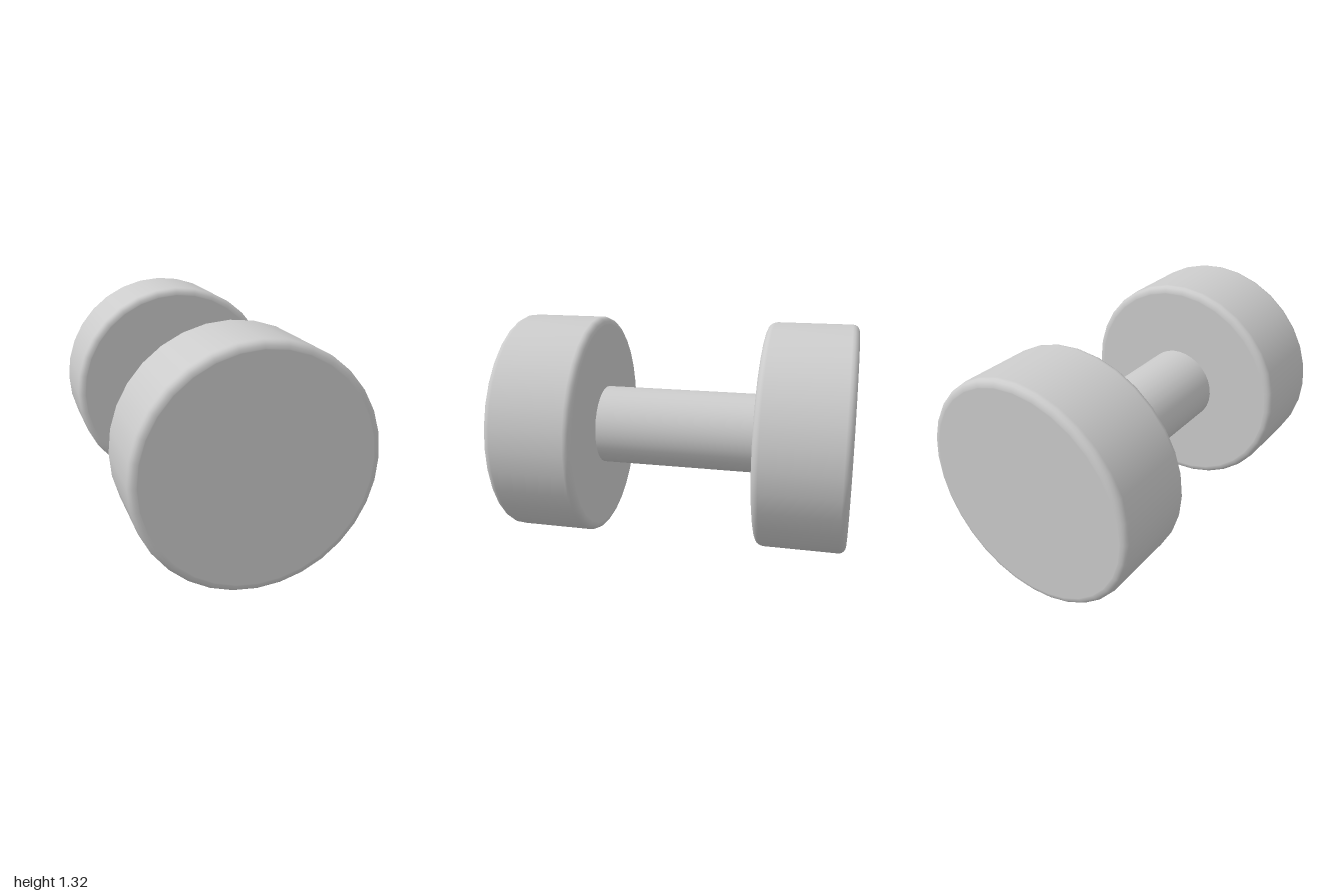
import * as THREE from 'three';

const SIDES = 32;
const RADIUS = 0.66;
const BEVEL = 0.04;
const INNER = 0.49; // z where each weight meets the handle
const OUTER = 1.0;

// Half outline of a disc with rounded rims, from one cap centre to the other
function weightProfile() {
  const half = (OUTER - INNER) / 2;
  const points = [new THREE.Vector2(0, -half), new THREE.Vector2(RADIUS - BEVEL - 0.005, -half)];
  const steps = 4;
  for (const end of [-1, 1]) {
    for (let i = 0; i <= steps; i++) {
      const t = (end < 0 ? i - steps : i) / steps * Math.PI / 2;
      points.push(new THREE.Vector2(
        RADIUS - BEVEL + BEVEL * Math.cos(t),
        end * (half - BEVEL) + BEVEL * Math.sin(t)
      ));
    }
  }
  points.push(new THREE.Vector2(RADIUS - BEVEL - 0.005, half), new THREE.Vector2(0, half));
  return points;
}

export function createModel() {
  const model = new THREE.Group();
  model.name = 'dumbbell';
  const material = new THREE.MeshStandardMaterial({ color: 0xcccccc });

  // Two matching weights, turned so their axis runs along z
  const weightGeometry = new THREE.LatheGeometry(weightProfile(), SIDES).rotateX(Math.PI / 2);
  for (const [name, side] of [['frontWeight', 1], ['backWeight', -1]]) {
    const weight = new THREE.Mesh(weightGeometry, material);
    weight.name = name;
    weight.position.set(0, RADIUS + 0.002, side * (INNER + OUTER) / 2);
    model.add(weight);
  }

  // Round handle between the weights
  const handleGeometry = new THREE.CylinderGeometry(0.235, 0.235, INNER * 2, SIDES, 1, true).rotateX(Math.PI / 2);
  const handle = new THREE.Mesh(handleGeometry, material);
  handle.name = 'handle';
  handle.position.y = RADIUS + 0.002;
  model.add(handle);

  return model;
}
